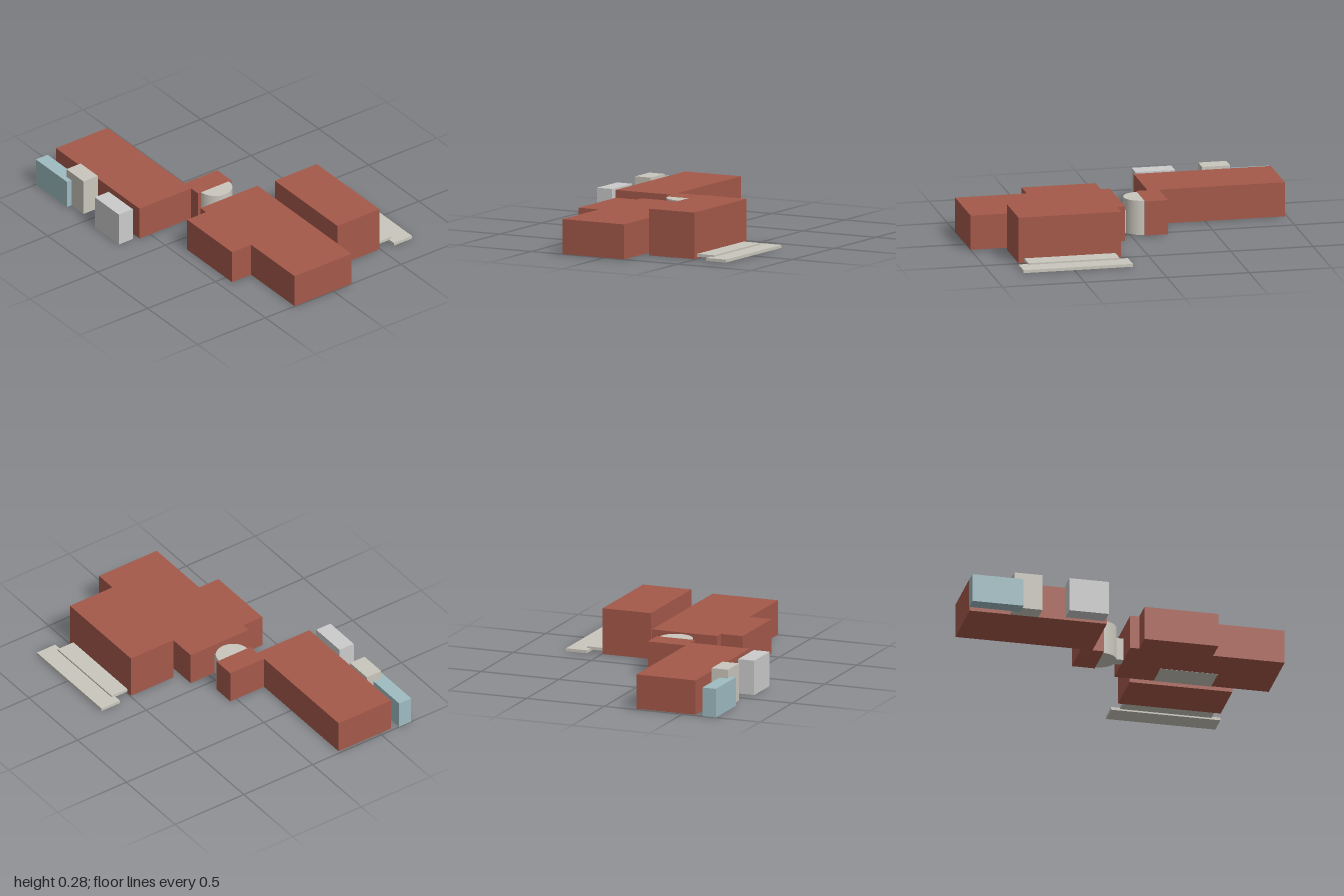
import * as THREE from 'three';

const material = (color) => new THREE.MeshStandardMaterial({ color });

export function createModel() {
  const model = new THREE.Group();
  model.name = 'schoolComplex';
  const brick = material(0xa5594a);
  const stone = material(0xc9c6bc);
  const concrete = material(0xbcbdc0);
  const glass = material(0x9fbcc2);

  const add = (name, geometry, mat) => {
    const mesh = new THREE.Mesh(geometry, mat);
    mesh.name = name;
    model.add(mesh);
    return mesh;
  };

  // Box given by its extents along each axis
  const block = (name, [x0, x1], [y0, y1], [z0, z1], mat) =>
    add(name, new THREE.BoxGeometry(x1 - x0, y1 - y0, z1 - z0), mat)
      .position.set((x0 + x1) / 2, (y0 + y1) / 2, (z0 + z1) / 2);

  // Walls raised from a plan of [x, z] corners
  const raisePlan = (name, plan, height, mat) => {
    const shape = new THREE.Shape(plan.map(([x, z]) => new THREE.Vector2(x, -z)));
    const geometry = new THREE.ExtrudeGeometry(shape, { depth: height, bevelEnabled: false });
    add(name, geometry.rotateX(-Math.PI / 2), mat);
  };

  // Main building with its front projection
  raisePlan('mainBuilding', [
    [0.06, -0.135], [1, -0.135], [1, 0.285], [0.565, 0.285],
    [0.565, 0.425], [0.115, 0.425], [0.115, 0.285], [0.06, 0.285],
  ], 0.21, brick);
  block('rearCore', [0.3, 0.65], [-0.001, 0.17], [-0.137, 0.04], stone);

  // Tall hall behind, with its two low steps
  block('hall', [0.165, 0.79], [0, 0.28], [-0.495, -0.185], brick);
  block('upperStep', [0.2, 0.755], [0.01, 0.028], [-0.61, -0.495], stone);
  block('lowerStep', [0.145, 0.81], [0, 0.018], [-0.722, -0.588], stone);

  // Side building with the narrow wing that joins it to the round lobby
  raisePlan('sideBuilding', [
    [-0.985, 0.2], [-0.22, 0.2], [-0.22, -0.045], [-0.08, -0.045],
    [-0.08, 0.2], [-0.15, 0.2], [-0.15, 0.58], [-0.985, 0.58],
  ], 0.21, brick);

  // Half-round lobby and the passage to the main building
  add('roundLobby', new THREE.CylinderGeometry(0.103, 0.103, 0.21, 32, 1, false, 0, Math.PI), stone)
    .position.set(-0.08, 0.105, 0.075);
  block('passage', [0, 0.06], [0, 0.14], [0.04, 0.108], stone);

  // Small blocks along the front of the side building
  block('glassPavilion', [-1, -0.688], [0, 0.175], [0.63, 0.717], glass);
  block('entranceTower', [-0.738, -0.567], [0, 0.228], [0.58, 0.685], stone);
  block('frontBlock', [-0.41, -0.17], [0, 0.21], [0.615, 0.718], concrete);

  return model;
}
